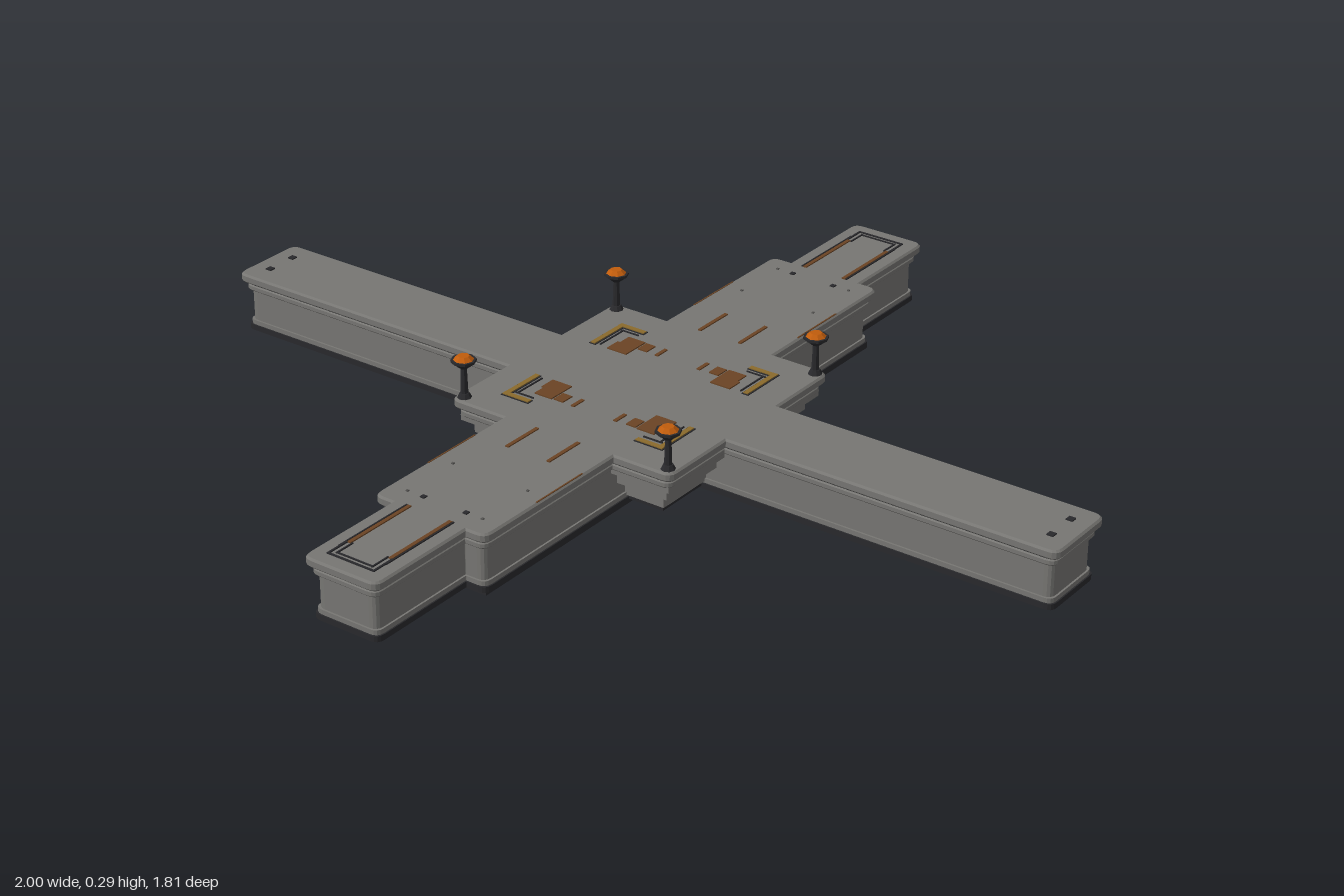
import * as THREE from 'three';

const mat = (name, color) => Object.assign(new THREE.MeshStandardMaterial({ color }), { name });

export function createModel() {
  const stone = mat('stone grey', 0x777673);
  const dark = mat('dark metal', 0x29292c);
  const mid = mat('mid grey', 0x565553);
  const brown = mat('rust brown', 0x6b4424);
  const gold = mat('dull gold', 0x8a6a2c);
  const orange = mat('lamp orange', 0xc05c0c);

  const root = new THREE.Group();
  root.name = 'crossPlatform';
  const add = (name, geo, m, x = 0, y = 0, z = 0, parent = root) => {
    const mesh = new THREE.Mesh(geo, m);
    mesh.name = name;
    mesh.position.set(x, y, z);
    parent.add(mesh);
    return mesh;
  };

  // Stepped cross outline, inset by d, optionally with the wide centre square
  function outline(d, square) {
    const X = 1 - d, a = 0.088 - d, s = 0.268 - d, w = 0.134 - d, zw = 0.655 - d, Z = 0.905 - d;
    const q = square
      ? [[X, a], [s, a], [s, s], [w, s], [w, zw], [a, zw], [a, Z]]
      : [[X, a], [w, a], [w, zw], [a, zw], [a, Z]];
    const flip = (sx, sy) => q.map(([x, y]) => new THREE.Vector2(x * sx, y * sy));
    const pts = [...flip(1, 1), ...flip(-1, 1).reverse(), ...flip(-1, -1), ...flip(1, -1).reverse()];
    const shape = new THREE.Shape();
    pts.forEach((p, i) => {
      const prev = pts[(i + pts.length - 1) % pts.length], next = pts[(i + 1) % pts.length];
      const u = prev.clone().sub(p).normalize(), v = next.clone().sub(p).normalize();
      const r = u.cross(v) < 0 ? 0.018 : 0.002; // round the outer corners
      const p0 = p.clone().addScaledVector(u, r), p1 = p.clone().addScaledVector(v, r);
      if (i === 0) shape.moveTo(p0.x, p0.y);
      else shape.lineTo(p0.x, p0.y);
      shape.quadraticCurveTo(p.x, p.y, p1.x, p1.y);
    });
    shape.closePath();
    return shape;
  }
  function layer(name, y0, y1, d, square, m, bevel = 0) {
    const geo = new THREE.ExtrudeGeometry(outline(d + bevel, square), {
      depth: y1 - y0 - 2 * bevel, curveSegments: 4, bevelEnabled: bevel > 0,
      bevelSize: bevel, bevelThickness: bevel, bevelSegments: 1,
    });
    geo.rotateX(-Math.PI / 2);
    add(name, geo, m, 0, y0 + bevel, 0);
  }

  // Stacked layers from the foot to the deck
  layer('plinth', 0.066, 0.078, 0.01, false, dark);
  layer('wallBase', 0.078, 0.088, 0.013, false, stone);
  layer('wall', 0.088, 0.158, 0.017, false, stone);
  layer('cornice', 0.158, 0.172, 0.009, true, stone, 0.003);
  layer('shadowGap', 0.172, 0.177, 0.011, true, dark);
  layer('deck', 0.177, 0.197, 0, true, stone, 0.004);
  add('keel', new THREE.BoxGeometry(0.24, 0.008, 1.28), dark, 0, 0.064, 0);

  // Square stepped corbel under the centre
  const r2 = Math.SQRT2;
  const steps = [[0.2, 0.076], [0.21, 0.082], [0.21, 0.108], [0.222, 0.114], [0.235, 0.118],
    [0.235, 0.138], [0.246, 0.144], [0.254, 0.147], [0.254, 0.16]];
  const square = (pts) => new THREE.LatheGeometry(pts.map(([r, y]) => new THREE.Vector2(r * r2, y)), 4, Math.PI / 4)
    .toNonIndexed();
  const corbel = square(steps);
  corbel.computeVertexNormals();
  add('corbel', corbel, stone);
  add('corbelFloor', new THREE.BoxGeometry(0.41, 0.008, 0.41), dark, 0, 0.076, 0);

  // Round hub below the centre
  const hub = new THREE.LatheGeometry(
    [[0, 0.008], [0.03, 0.008], [0.032, 0], [0.038, 0], [0.042, 0.014], [0.05, 0.03], [0.056, 0.034],
      [0.056, 0.05], [0.05, 0.056], [0.05, 0.068]].map(([r, y]) => new THREE.Vector2(r, y)), 20).toNonIndexed();
  hub.computeVertexNormals();
  add('hub', hub, mid);

  // Corner lamps
  for (const sx of [-1, 1]) for (const sz of [-1, 1]) {
    const lamp = new THREE.Group();
    lamp.name = 'lamp';
    lamp.position.set(sx * 0.248, 0.195, sz * 0.248);
    root.add(lamp);
    const part = (name, rt, rb, h, y, m) => {
      const geo = new THREE.CylinderGeometry(rt, rb, h, 8).toNonIndexed();
      geo.computeVertexNormals();
      add(name, geo, m, 0, y + h / 2, 0, lamp);
    };
    part('lampBase', 0.01, 0.016, 0.012, 0, dark);
    part('lampPost', 0.006, 0.008, 0.06, 0.01, dark);
    part('lampCup', 0.025, 0.008, 0.014, 0.066, dark);
    part('lampRim', 0.026, 0.026, 0.005, 0.08, dark);
    part('lampGlow', 0.012, 0.021, 0.008, 0.085, orange);
  }

  // Deck markings, each mirrored into all four quadrants
  const mark = (name, x, z, w, l, m, h = 0.003) => {
    for (const sx of [-1, 1]) for (const sz of [-1, 1]) {
      add(name, new THREE.BoxGeometry(w, h, l), m, sx * x, 0.1965 + h / 2, sz * z);
    }
  };
  mark('rustPatch', 0.125, 0.122, 0.042, 0.066, brown);
  mark('rustPatchEdge', 0.145, 0.107, 0.014, 0.036, brown);
  mark('rustPatchTip', 0.09, 0.138, 0.02, 0.03, brown);
  mark('innerDash', 0.052, 0.138, 0.008, 0.034, brown);
  mark('innerDash', 0.08, 0.138, 0.006, 0.03, brown);
  mark('laneDash', 0.05, 0.315, 0.008, 0.095, brown);
  mark('laneStripe', 0.049, 0.735, 0.008, 0.17, brown);
  mark('edgeStripe', 0.13, 0.43, 0.003, 0.14, brown, 0.0015);
  mark('bracketBorder', 0.163, 0.19, 0.068, 0.016, dark, 0.002);
  mark('bracketBorder', 0.189, 0.143, 0.016, 0.11, dark, 0.002);
  mark('bracketGold', 0.163, 0.19, 0.064, 0.011, gold, 0.004);
  mark('bracketGold', 0.189, 0.143, 0.011, 0.106, gold, 0.004);
  mark('bracketInner', 0.157, 0.173, 0.045, 0.003, dark);
  mark('bracketInner', 0.174, 0.135, 0.003, 0.08, dark);
  mark('frameSide', 0.054, 0.845, 0.004, 0.05, dark);
  mark('frameLine', 0.056, 0.745, 0.003, 0.19, dark);
  mark('frameInner', 0.042, 0.84, 0.003, 0.045, dark);
  for (const s of [-1, 1]) {
    add('frameEnd', new THREE.BoxGeometry(0.112, 0.003, 0.004), dark, 0, 0.198, s * 0.871);
    add('frameEndInner', new THREE.BoxGeometry(0.084, 0.003, 0.003), dark, 0, 0.198, s * 0.86);
  }
  mark('deckBolt', 0.956, 0.035, 0.014, 0.014, dark);
  mark('deckBolt', 0.051, 0.608, 0.01, 0.01, dark);
  mark('smallBolt', 0.09, 0.475, 0.005, 0.005, mid);
  mark('smallBolt', 0.09, 0.608, 0.005, 0.005, mid);

  return root;
}
